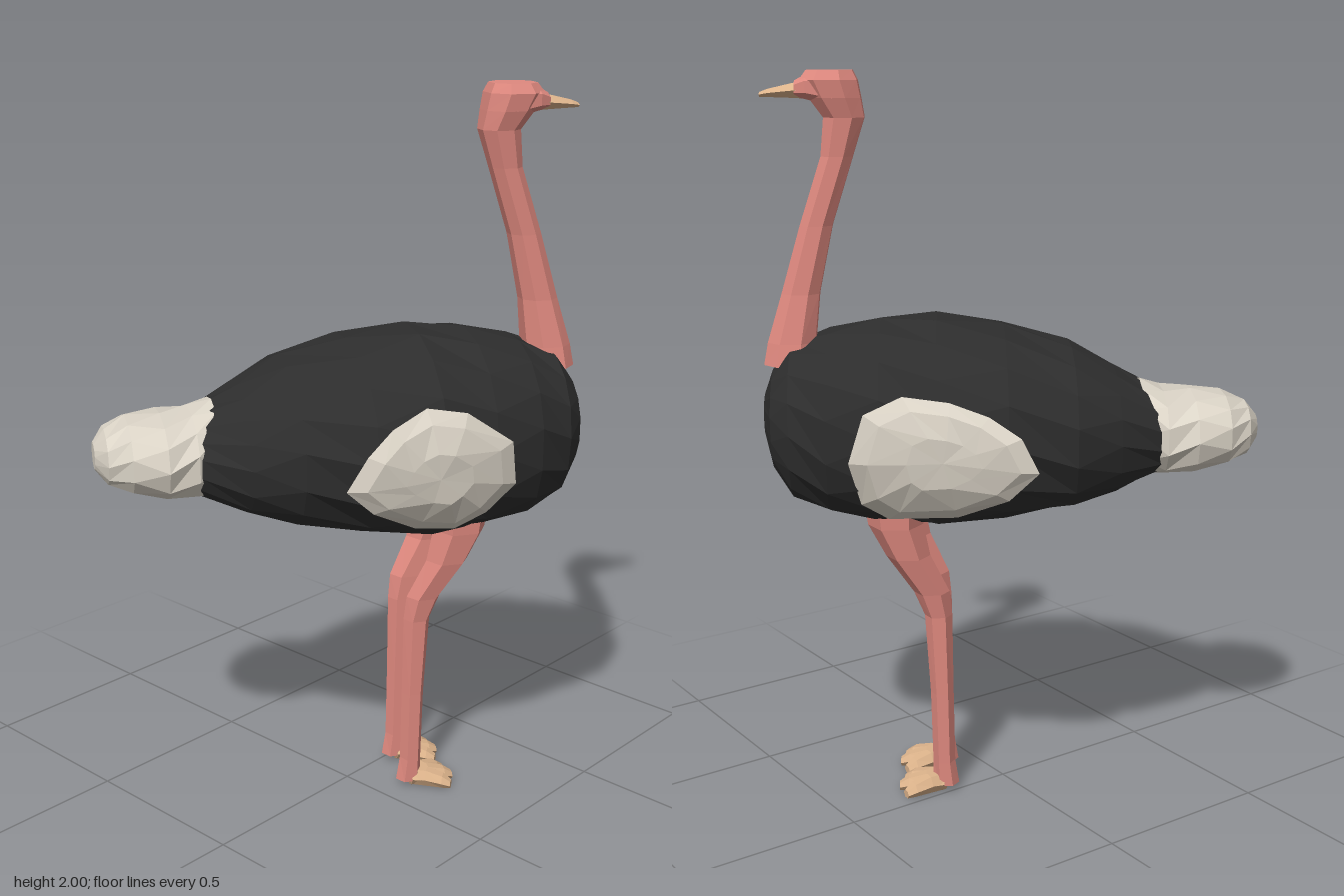
import * as THREE from 'three';

const mat = (name, color) =>
  Object.assign(new THREE.MeshStandardMaterial({ color, flatShading: true }), { name });

// Skin a list of equal-sized point rings, close both ends, and face everything outward.
function loft(rings) {
  const n = rings[0].length, pos = rings.flat().flatMap(p => p.toArray()), idx = [];
  for (let r = 0; r < rings.length - 1; r++)
    for (let i = 0; i < n; i++) {
      const a = r * n + i, b = r * n + (i + 1) % n;
      idx.push(a, b, a + n, b, b + n, a + n);
    }
  for (const r of [0, rings.length - 1]) {
    const c = rings[r].reduce((s, p) => s.add(p), new THREE.Vector3()).divideScalar(n);
    const k = pos.length / 3;
    pos.push(c.x, c.y, c.z);
    for (let i = 0; i < n; i++) {
      const a = r * n + i, b = r * n + (i + 1) % n;
      r === 0 ? idx.push(b, a, k) : idx.push(a, b, k);
    }
  }
  const v = i => new THREE.Vector3().fromArray(pos, 3 * i);
  let volume = 0;
  for (let i = 0; i < idx.length; i += 3) volume += v(idx[i]).dot(v(idx[i + 1]).cross(v(idx[i + 2])));
  if (volume < 0) idx.reverse();
  const g = new THREE.BufferGeometry();
  g.setAttribute('position', new THREE.Float32BufferAttribute(pos, 3));
  g.setIndex(idx);
  const flat = g.toNonIndexed();
  flat.computeVertexNormals();
  return flat;
}

// Rounded ring; "upright" rings face along x, the others face along y.
function ring(c, a, b, n, upright, turn = 0, power = 2, lowPower = power) {
  return Array.from({ length: n }, (_, i) => {
    const t = (i + turn) / n * Math.PI * 2, e = 2 / (Math.sin(t) < 0 ? lowPower : power);
    const soft = v => Math.sign(v) * Math.abs(v) ** e;
    const p = soft(Math.cos(t)) * a, q = soft(Math.sin(t)) * b;
    return upright ? new THREE.Vector3(c[0], c[1] + q, c[2] + p)
      : new THREE.Vector3(c[0] + p, c[1], c[2] + q);
  });
}

// Body stations: x, top, bottom, half width, sideways centre
const BODY = [
  [-0.52, 1.11, 0.97, 0.11, -0.02], [-0.42, 1.155, 0.935, 0.17, -0.02], [-0.3, 1.22, 0.885, 0.245, -0.022],
  [-0.18, 1.285, 0.85, 0.315, -0.018], [0, 1.335, 0.82, 0.36, -0.012], [0.18, 1.36, 0.795, 0.357, 0],
  [0.33, 1.35, 0.805, 0.315, 0], [0.47, 1.32, 0.825, 0.267, 0.008], [0.57, 1.285, 0.865, 0.215, 0.005],
  [0.62, 1.22, 0.945, 0.16, 0], [0.645, 1.15, 1.03, 0.065, 0],
];
const TOP_POWER = 2.1, LOW_POWER = 2.4;

// Sideways position of the body surface on side s at a given length and height
function flank(x, y, s) {
  const i = BODY.findIndex((_, k) => x <= BODY[k + 1][0]);
  const A = BODY[i], B = BODY[i + 1], t = (x - A[0]) / (B[0] - A[0]);
  const [top, bottom, w, mid] = [1, 2, 3, 4].map(k => A[k] + (B[k] - A[k]) * t);
  const h = THREE.MathUtils.clamp((2 * y - top - bottom) / (top - bottom), -1, 1);
  const power = h < 0 ? LOW_POWER : TOP_POWER;
  return mid + s * w * (1 - Math.abs(h) ** power) ** (1 / power);
}

// Wing outlines in length and height, seen from the side
const WINGS = {
  left: [[-0.095, 1.03], [-0.04, 1.12], [0.03, 1.18], [0.13, 1.22], [0.24, 1.2], [0.37, 1.11],
    [0.385, 0.99], [0.31, 0.91], [0.23, 0.86], [0.11, 0.885], [-0.02, 0.96]],
  right: [[-0.075, 1.02], [-0.03, 1.11], [0.05, 1.16], [0.15, 1.19], [0.27, 1.2], [0.37, 1.15],
    [0.41, 1.02], [0.38, 0.9], [0.31, 0.85], [0.13, 0.87], [0, 0.94]],
};

export function createModel() {
  const black = mat('black plumage', 0x2d2d2d);
  const white = mat('pale plumage', 0xdad3c6);
  const pink = mat('pink skin', 0xdf897f);
  const tan = mat('tan horn', 0xdcb38b);

  const model = new THREE.Group();
  const bird = new THREE.Group();
  bird.name = 'bird';
  bird.rotation.y = -THREE.MathUtils.degToRad(33);
  model.add(bird);
  const add = (name, rings, material) => {
    const m = new THREE.Mesh(loft(rings), material);
    m.name = name;
    bird.add(m);
  };

  add('body', BODY.map(([x, top, bottom, w, mid], k) =>
    ring([x, (top + bottom) / 2, mid], w, (top - bottom) / 2, 16, true, (k % 2) / 2, TOP_POWER, LOW_POWER)), black);

  // Puffy tail: x, centre height, half width, half height
  add('tail', [
    [-0.37, 1.055, 0.14, 0.13], [-0.43, 1.045, 0.18, 0.117], [-0.51, 1.045, 0.192, 0.11],
    [-0.6, 1.05, 0.168, 0.096], [-0.66, 1.05, 0.115, 0.072], [-0.69, 1.05, 0.05, 0.035],
  ].map(([x, y, w, h], k) => ring([x, y, -0.027], w, h, 12, true, (k % 2) / 2, 2.3)), white);

  // Neck swelling into a flat-topped head: height, x, half depth, half width
  add('neckAndHead', [
    [1.23, 0.572, 0.076, 0.082], [1.29, 0.568, 0.068, 0.071], [1.42, 0.541, 0.054, 0.053],
    [1.6, 0.495, 0.046, 0.046], [1.78, 0.436, 0.045, 0.047], [1.88, 0.415, 0.057, 0.057],
    [1.93, 0.437, 0.072, 0.074], [1.975, 0.453, 0.08, 0.081], [2, 0.45, 0.064, 0.066],
  ].map(([y, x, d, w]) => ring([x, y, 0], d, w, 8, false, 0.5, 2.2)), pink);

  // Face and beak: x, centre height, half width, half height
  add('face', [[0.44, 1.95, 0.074, 0.046], [0.51, 1.958, 0.064, 0.034], [0.54, 1.953, 0.048, 0.022]]
    .map(([x, y, w, h]) => ring([x, y, 0], w, h, 8, true, 0.5, 2.4)), pink);
  add('beak', [
    [0.52, 1.95, 0.05, 0.025], [0.55, 1.948, 0.046, 0.021],
    [0.61, 1.942, 0.033, 0.012], [0.632, 1.938, 0.022, 0.007],
  ].map(([x, y, w, h]) => ring([x, y, 0], w, h, 6, true)), tan);

  for (const s of [1, -1]) {
    const side = s > 0 ? 'left' : 'right';

    // Wing: a shallow shell lying on the flank, lifted at its rear tip
    const wingRing = (scale, out) => WINGS[side].map(([u, v]) => {
      const x = 0.16 + (u - 0.16) * scale, y = 1.04 + (v - 1.04) * scale;
      const lift = 0.045 * THREE.MathUtils.clamp((0.12 - x) / 0.2, 0, 1);
      return new THREE.Vector3(x, y, flank(x, y, s) + s * (out + lift));
    });
    add(side + 'Wing', [wingRing(0.9, -0.04), wingRing(1, 0.008), wingRing(0.8, 0.018), wingRing(0.4, 0.018)], white);

    // Leg: height, x, side offset, half depth, half width
    add(side + 'Leg', [
      [0.88, 0.3, 0.1, 0.082, 0.076], [0.8, 0.296, 0.1, 0.075, 0.07], [0.71, 0.263, 0.1, 0.06, 0.056],
      [0.6, 0.2, 0.086, 0.049, 0.043], [0.53, 0.182, 0.081, 0.038, 0.036], [0.3, 0.174, 0.079, 0.032, 0.033],
      [0.09, 0.17, 0.078, 0.031, 0.032], [0.02, 0.165, 0.078, 0.037, 0.032],
    ].map(([y, x, z, d, w]) => ring([x, y, s * z], d, w, 6, false)), pink);

    // Foot pad joining three spread toes
    add(side + 'FootPad', [[0.17, 0.032, 0.026], [0.21, 0.048, 0.028], [0.245, 0.052, 0.023]]
      .map(([x, w, h]) => ring([x, h, s * 0.078], w, h, 6, true)), tan);
    [[-0.48, 0.12], [0, 0.125], [0.48, 0.12]].forEach(([angle, length], k) => {
      const toe = [[-0.01, 0.026, 0.028], [0.4, 0.027, 0.028], [0.8, 0.025, 0.021], [1, 0.016, 0.012]]
        .map(([t, w, h]) => ring([t * length, h, 0], w, h, 6, true).map(p =>
          p.applyAxisAngle(new THREE.Vector3(0, 1, 0), angle).add(new THREE.Vector3(0.172, 0, s * 0.078))));
      add(side + 'Toe' + (k + 1), toe, tan);
    });
  }
  return model;
}
